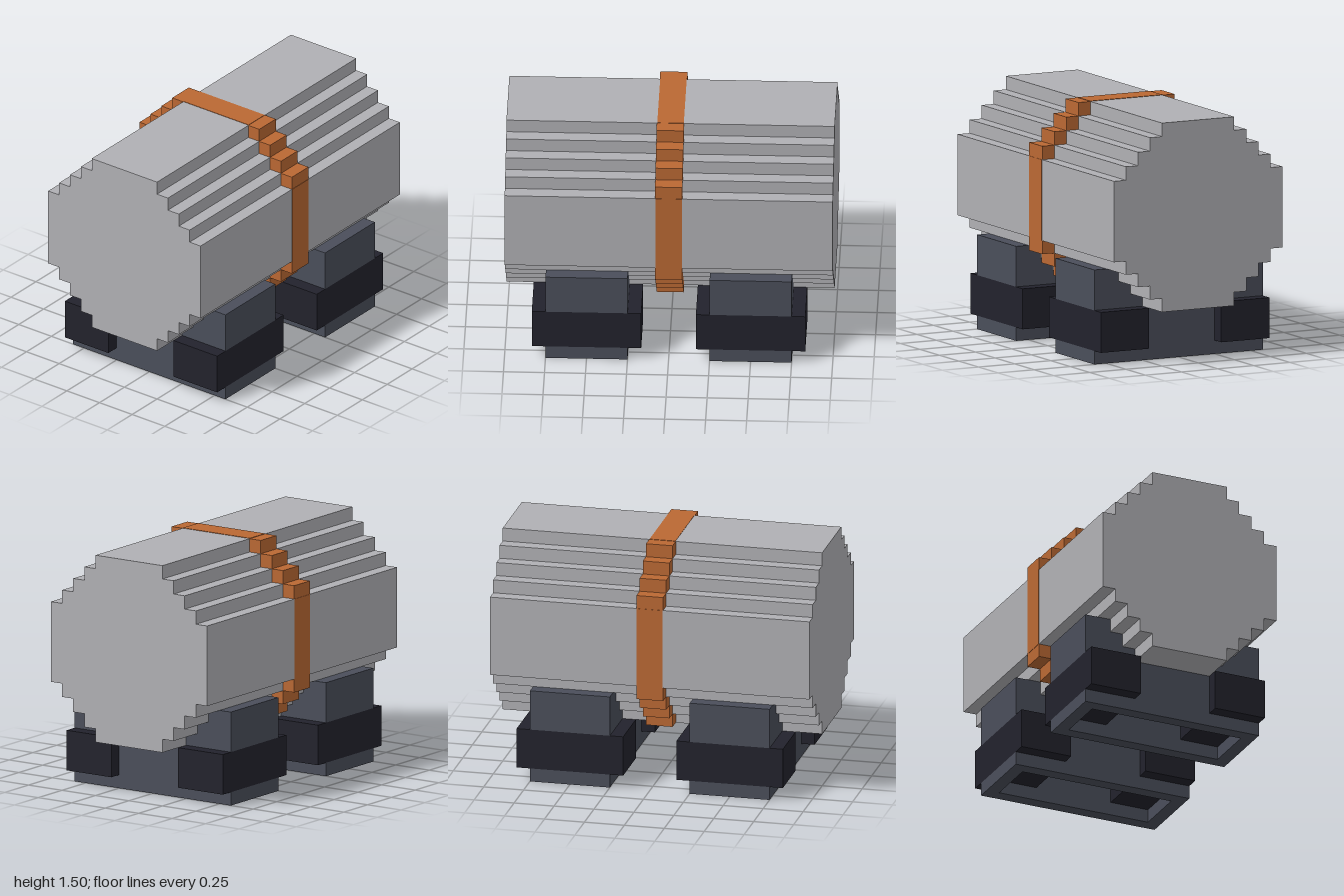
import * as THREE from 'three';

const U = 1 / 12; // one block

function material(name, color, side = THREE.FrontSide) {
  const m = new THREE.MeshStandardMaterial({ color, side });
  m.name = name;
  return m;
}

export function createModel() {
  const steel = material('light grey', 0xb0b0b4, THREE.DoubleSide);
  const copper = material('copper orange', 0xba6833);
  const slate = material('slate grey', 0x4a4e5a);
  const dark = material('near black', 0x22222c);

  const model = new THREE.Group();
  model.name = 'tankOnStands';

  // Box given by its limits in blocks
  const box = (parent, name, mat, x0, x1, y0, y1, z0, z1) => {
    const geo = new THREE.BoxGeometry((x1 - x0) * U, (y1 - y0) * U, (z1 - z0) * U);
    geo.translate((x0 + x1) * U / 2, (y0 + y1) * U / 2, (z0 + z1) * U / 2);
    const mesh = new THREE.Mesh(geo, mat);
    mesh.name = name;
    parent.add(mesh);
  };

  // Stepped tank outline as [z, y], from bottom front round the top to bottom back
  const half = [];
  for (let i = 0; i < 4; i++) half.push([3 + i, 4 + i], [3 + i, 5 + i]);
  half.push([7, 8], [7, 14]);
  for (let i = 0; i < 4; i++) half.push([6 - i, 14 + i], [6 - i, 15 + i]);
  const outline = [...half, ...half.map(([z, y]) => [-z, y]).reverse()];

  // Tank: hollow stepped shell, its floor open above the stands
  const tank = new THREE.Group();
  tank.name = 'tank';
  model.add(tank);
  const pos = [];
  const strip = ([za, ya], [zb, yb], x0, x1) => {
    const a = [x0, ya, za], b = [x1, ya, za], c = [x1, yb, zb], d = [x0, yb, zb];
    for (const p of [a, b, c, a, c, d]) pos.push(...p.map(v => v * U));
  };
  for (let i = 0; i < outline.length - 1; i++) strip(outline[i], outline[i + 1], -12, 12);
  for (const [x0, x1] of [[-12, -9], [-3, 3], [9, 12]]) strip([-3, 4], [3, 4], x0, x1);
  const shellGeo = new THREE.BufferGeometry();
  shellGeo.setAttribute('position', new THREE.Float32BufferAttribute(pos, 3));
  shellGeo.computeVertexNormals();
  const shell = new THREE.Mesh(shellGeo, steel);
  shell.name = 'tankShell';
  tank.add(shell);

  const capShape = new THREE.Shape(outline.map(([z, y]) => new THREE.Vector2(z * U, y * U)));
  for (const s of [-1, 1]) {
    const cap = new THREE.Mesh(new THREE.ShapeGeometry(capShape), steel);
    cap.name = s > 0 ? 'leftEndCap' : 'rightEndCap';
    cap.rotation.y = s * Math.PI / 2;
    cap.position.x = s;
    tank.add(cap);
  }

  // Strap: blocks filling the steps, thin plates over the flat faces
  const strap = new THREE.Group();
  strap.name = 'strap';
  model.add(strap);
  const t = 0.03;
  for (const s of [-1, 1]) {
    const zs = (a, b) => (s > 0 ? [a, b] : [-b, -a]);
    for (let i = 0; i < 4; i++) {
      box(strap, 'upperStrapBlock', copper, -1, 1, 17 - i, 18 - i, ...zs(3 + i, 4 + i));
      box(strap, 'lowerStrapBlock', copper, -1, 1, 4 + i, 5 + i, ...zs(3 + i, 4 + i));
    }
    box(strap, 'sideStrapPlate', copper, -0.97, 0.97, 8, 14, ...zs(7 - t, 7 + t));
  }
  box(strap, 'topStrapPlate', copper, -0.97, 0.97, 18 - t, 18 + t, -3, 3);
  box(strap, 'bottomStrapPlate', copper, -0.97, 0.97, 4 - t, 4 + t, -3, 3);

  // Two hollow stands
  for (const side of [-1, 1]) {
    const stand = new THREE.Group();
    stand.name = side > 0 ? 'leftStand' : 'rightStand';
    stand.position.x = side * 6 * U;
    model.add(stand);
    for (const s of [-1, 1]) {
      const span = (a, b) => (s > 0 ? [a, b] : [-b, -a]);
      // Base frame and side walls
      box(stand, 'baseEndRail', slate, -3, 3, 0, 1, ...span(6, 7));
      box(stand, 'baseSideRail', slate, ...span(2, 3), 0, 1, -6, 6);
      box(stand, 'standWall', slate, ...span(2, 3), 1, 4, -3, 3);
      // Dark foot clamp and stepped cradle above it
      box(stand, 'footClamp', dark, -4, 4, 1, 4, ...span(3, 7));
      for (let i = 0; i < 3; i++)
        box(stand, 'cradleStep', slate, -3, 3, 4 + i, 5 + i, ...span(3 + i, 7));
    }
  }
  return model;
}
